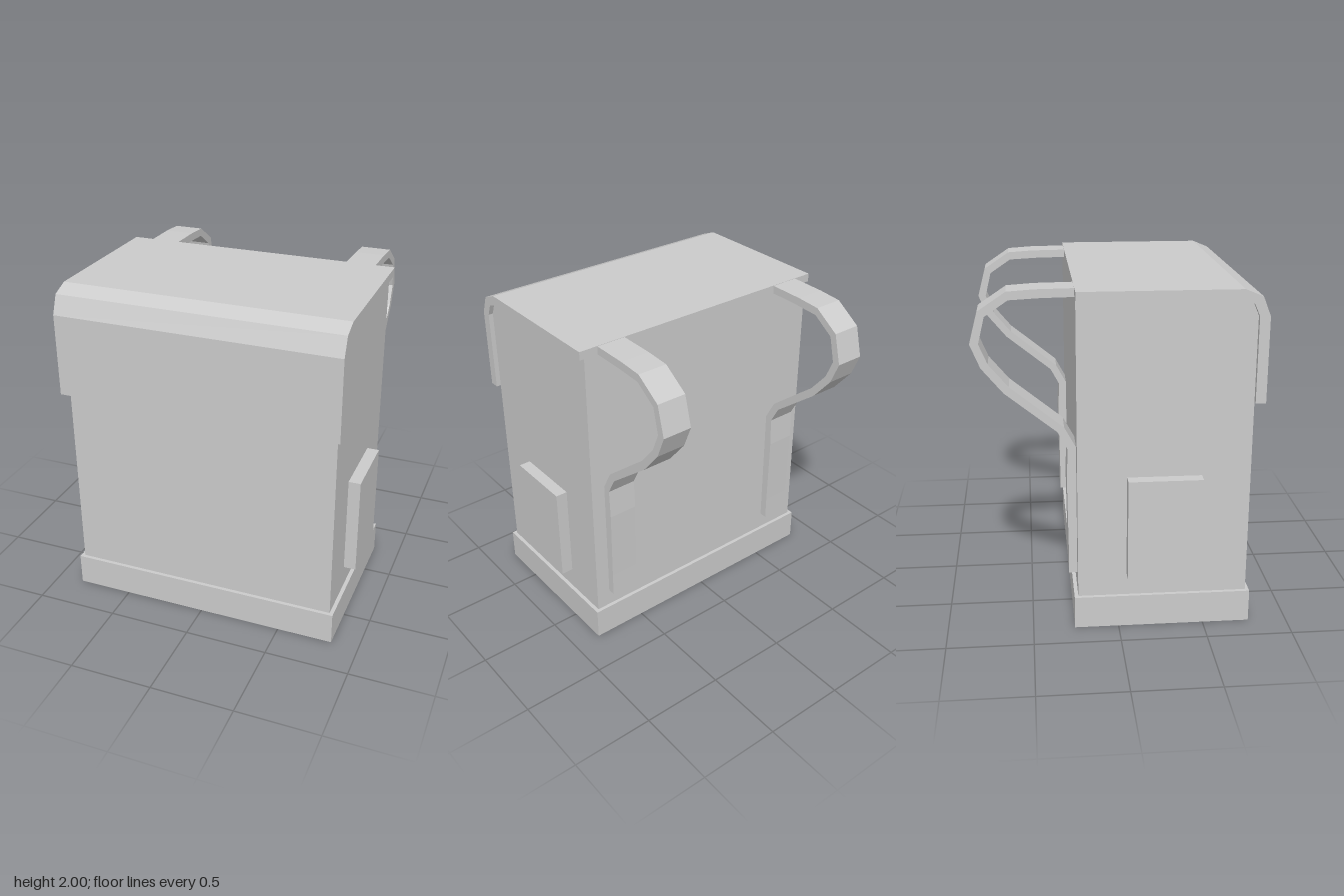
import * as THREE from 'three';

const material = new THREE.MeshStandardMaterial({ color: 0xcccccc, flatShading: true });

// Box given by its lower and upper corners
function box(name, [x0, y0, z0], [x1, y1, z1]) {
  const geometry = new THREE.BoxGeometry(x1 - x0, y1 - y0, z1 - z0);
  geometry.translate((x0 + x1) / 2, (y0 + y1) / 2, (z0 + z1) / 2);
  const mesh = new THREE.Mesh(geometry, material);
  mesh.name = name;
  return mesh;
}

// Side profile of [z, y] points, extruded across x from x0 to x1
function sideProfile(name, points, x0, x1) {
  const shape = new THREE.Shape(points.map(([z, y]) => new THREE.Vector2(-z, y)));
  const geometry = new THREE.ExtrudeGeometry(shape, { depth: x1 - x0, bevelEnabled: false });
  geometry.rotateY(Math.PI / 2);
  geometry.translate(x0, 0, 0);
  const mesh = new THREE.Mesh(geometry, material);
  mesh.name = name;
  return mesh;
}

export function createModel() {
  const group = new THREE.Group();
  group.name = 'backpack';

  // Base band and main bag, whose top follows the inside of the flap
  group.add(box('base', [-0.835, 0, -0.257], [0.835, 0.195, 0.775]));
  const flapInner = [[0.753, 1.85], [0.723, 1.92], [0.65, 1.95], [-0.235, 1.95]];
  group.add(sideProfile('body', [[-0.235, 0.1], [0.753, 0.1], ...flapInner], -0.812, 0.812));

  // Lid folding over the front
  const flapOuter = [[-0.235, 2], [0.67, 2], [0.768, 1.96], [0.812, 1.85], [0.812, 1.36]];
  group.add(sideProfile('flap', [...flapOuter, [0.753, 1.36], ...flapInner], -0.84, 0.84));

  // Shoulder strap: outer edge downwards, then inner edge back up
  const strap = [
    [-0.235, 1.998], [-0.45, 1.995], [-0.6, 1.985], [-0.757, 1.88], [-0.805, 1.7],
    [-0.75, 1.565], [-0.63, 1.42], [-0.338, 1.185], [-0.282, 1.08], [-0.289, 0.9],
    [-0.283, 0.45], [-0.283, 0.305],
    [-0.234, 0.305], [-0.234, 1.09], [-0.3, 1.212], [-0.6, 1.455], [-0.71, 1.587],
    [-0.757, 1.7], [-0.72, 1.85], [-0.59, 1.938], [-0.42, 1.947], [-0.235, 1.95],
  ];

  // Straps and side pockets, one on each side
  for (const [side, s] of [['left', 1], ['right', -1]]) {
    const inner = s > 0 ? 0.548 : -0.725;
    group.add(sideProfile(side + 'Strap', strap, inner, inner + 0.177));
    const pocketX = s > 0 ? 0.8 : -0.884;
    group.add(box(side + 'Pocket', [pocketX, 0.333, 0.047], [pocketX + 0.084, 0.933, 0.473]));
  }
  return group;
}
